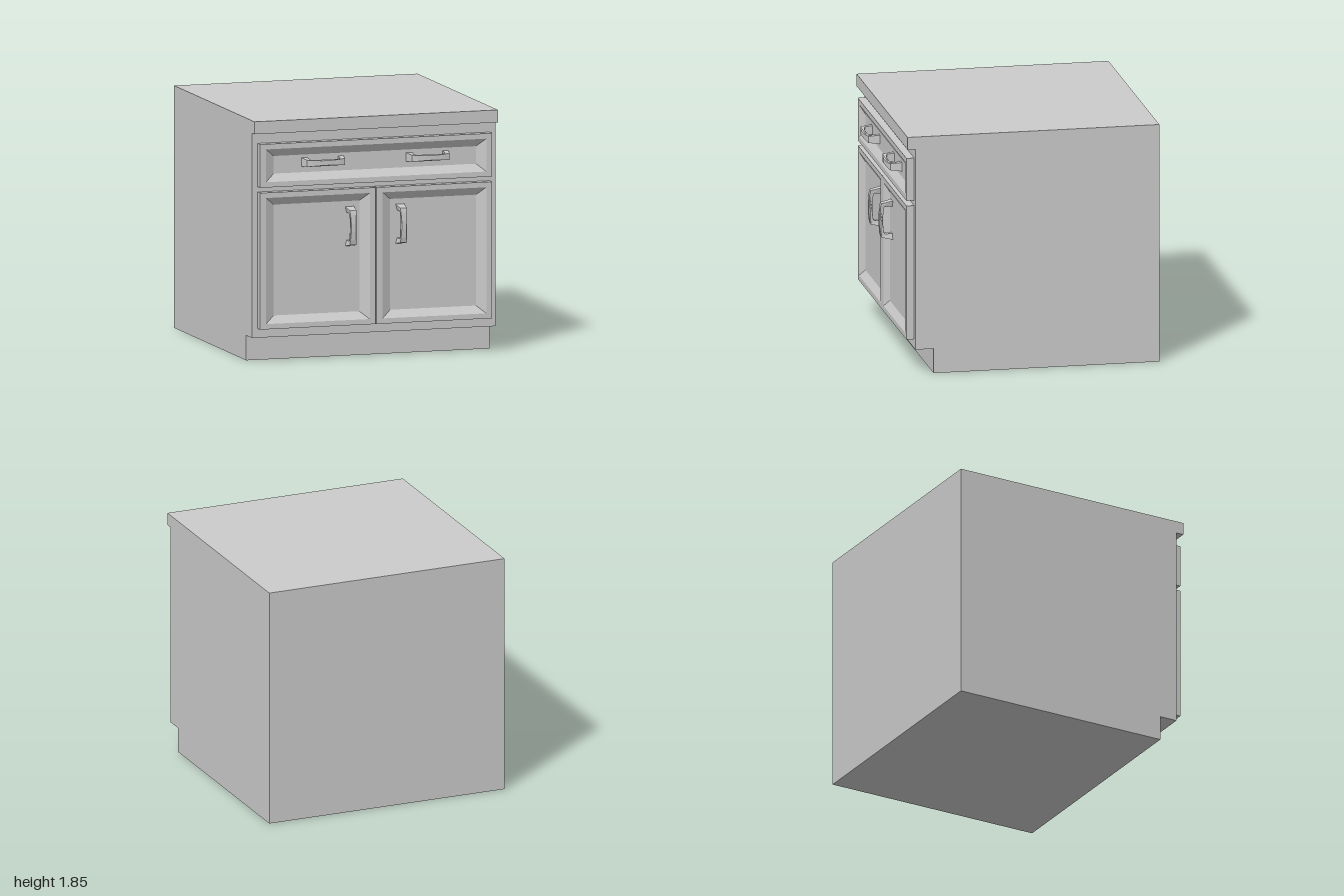
import * as THREE from 'three';

const material = new THREE.MeshStandardMaterial({ color: 0xcccccc, flatShading: true });

function addMesh(parent, name, geometry) {
  const mesh = new THREE.Mesh(geometry, material);
  mesh.name = name;
  parent.add(mesh);
  return mesh;
}

const shapeOf = (points) => new THREE.Shape(points.map(([x, y]) => new THREE.Vector2(x, y)));

// Carcass with overhanging worktop and toe kick: side outline (z, y) swept across x
function carcassGeometry(width) {
  const outline = shapeOf([
    [-1, 0], [0.735, 0], [0.735, 0.19], [0.875, 0.19],
    [0.875, 1.75], [0.935, 1.75], [0.935, 1.845], [-1, 1.845],
  ]);
  const geometry = new THREE.ExtrudeGeometry(outline, { depth: width, bevelEnabled: false });
  return geometry.translate(0, 0, -width / 2).rotateY(-Math.PI / 2);
}

// Front panel with a sloped border leading to a recessed field
const BACK = 0.875, FRONT = 0.935, FIELD = 0.9;
function panelGeometry(x0, x1, y0, y1) {
  const ring = (dx, dy, z) => [
    [x0 + dx, y0 + dy, z], [x1 - dx, y0 + dy, z],
    [x1 - dx, y1 - dy, z], [x0 + dx, y1 - dy, z],
  ];
  const rings = [
    ring(0, 0, BACK), ring(0, 0, FRONT), ring(0.047, 0.04, FRONT), ring(0.118, 0.098, FIELD),
  ];
  const positions = [];
  const quad = (a, b, c, d) => positions.push(...a, ...b, ...c, ...a, ...c, ...d);
  for (let r = 0; r < rings.length - 1; r++) {
    for (let i = 0; i < 4; i++) {
      const j = (i + 1) % 4;
      quad(rings[r][i], rings[r][j], rings[r + 1][j], rings[r + 1][i]);
    }
  }
  quad(...rings[rings.length - 1]);
  const geometry = new THREE.BufferGeometry();
  geometry.setAttribute('position', new THREE.Float32BufferAttribute(positions, 3));
  geometry.computeVertexNormals();
  return geometry;
}

// Bow handle along x: flared feet, grip narrowing towards the middle
function handleGeometry(length) {
  const h = length / 2;
  const half = [
    [0.2 * h, 0.1], [0.65 * h, 0.094], [h - 0.018, 0.086], [h, 0],
    [h - 0.045, 0], [h - 0.045, 0.058], [0.65 * h, 0.066], [0.2 * h, 0.072],
  ];
  const mirrored = half.map(([u, d]) => [-u, d]).reverse();
  const geometry = new THREE.ExtrudeGeometry(shapeOf([...half, ...mirrored]), { depth: 2, bevelEnabled: false });
  geometry.translate(0, 0, -1);
  const p = geometry.attributes.position;
  for (let i = 0; i < p.count; i++) {
    const u = Math.abs(p.getX(i)) / h;
    const foot = 1 - Math.min(p.getY(i) / 0.086, 1);
    const halfWidth = u > 0.7 ? 0.026 + 0.008 * foot : 0.016 + 0.01 * u;
    p.setZ(i, p.getZ(i) * halfWidth);
  }
  geometry.rotateX(Math.PI / 2);
  geometry.computeVertexNormals();
  return geometry;
}

export function createModel() {
  const model = new THREE.Group();
  model.name = 'baseCabinet';

  addMesh(model, 'carcass', carcassGeometry(1.93));
  addMesh(model, 'drawerFront', panelGeometry(-0.92, 0.92, 1.34, 1.67));

  // Doors and handles, mirrored about the centre
  for (const [label, side] of [['left', 1], ['right', -1]]) {
    const edges = [side * 0.004, side * 0.92].sort((a, b) => a - b);
    addMesh(model, label + 'Door', panelGeometry(edges[0], edges[1], 0.26, 1.3));

    const drawerHandle = addMesh(model, label + 'DrawerHandle', handleGeometry(0.335));
    drawerHandle.position.set(side * 0.415, 1.515, FIELD);

    const doorHandle = addMesh(model, label + 'DoorHandle', handleGeometry(0.3));
    doorHandle.position.set(side * 0.2, 1.01, FIELD);
    doorHandle.rotation.z = Math.PI / 2;
  }
  return model;
}
